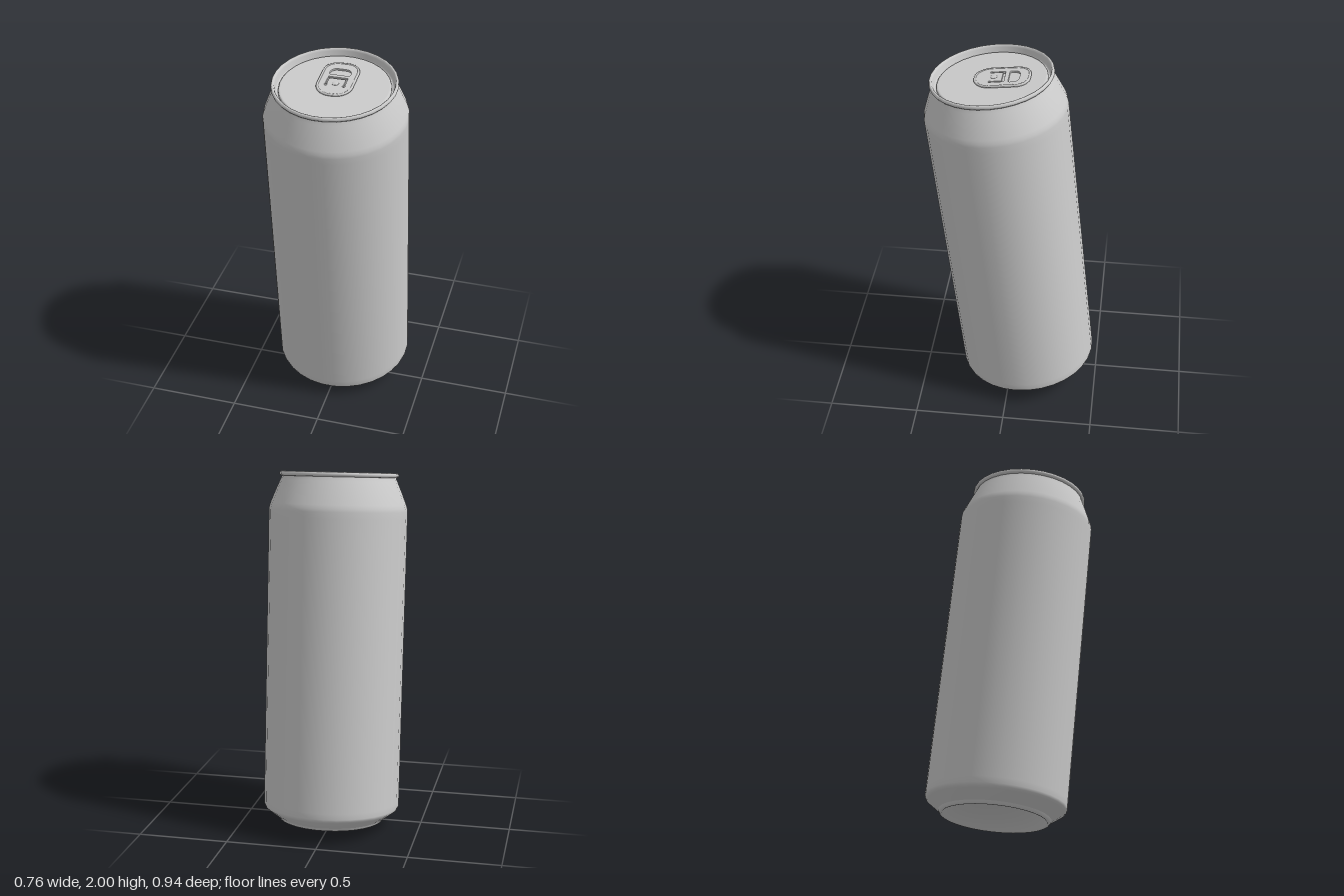
import * as THREE from 'three';

const SIDES = 32;
const LEAN = 0.111;

// Smooth surface of revolution from [radius, height] pairs
function turned(name, pairs, material) {
  const points = pairs.map(([r, h]) => new THREE.Vector2(r, h));
  const mesh = new THREE.Mesh(new THREE.LatheGeometry(points, SIDES, Math.PI / SIDES), material);
  mesh.name = name;
  return mesh;
}

// Rounded rectangle with separate lower and upper corner radii
function roundedRect(path, w, y0, y1, rLow, rHigh) {
  path.absarc(w - rLow, y0 + rLow, rLow, -Math.PI / 2, 0, false);
  path.absarc(w - rHigh, y1 - rHigh, rHigh, 0, Math.PI / 2, false);
  path.absarc(-w + rHigh, y1 - rHigh, rHigh, Math.PI / 2, Math.PI, false);
  path.absarc(-w + rLow, y0 + rLow, rLow, Math.PI, Math.PI * 1.5, false);
  path.closePath();
  return path;
}

// U-shaped slit with a round bulb at each end
function tongueSlit() {
  const p = new THREE.Path();
  p.moveTo(-0.054, 0.002);
  p.lineTo(-0.054, 0.07);
  p.lineTo(0.054, 0.07);
  p.lineTo(0.054, 0.002);
  p.absarc(0.048, -0.006, 0.01, Math.PI * 0.3, -Math.PI * 1.3, true);
  p.lineTo(0.042, 0.052);
  p.lineTo(-0.042, 0.052);
  p.lineTo(-0.042, 0.002);
  p.absarc(-0.048, -0.006, 0.01, Math.PI * 0.3, -Math.PI * 1.3, true);
  p.closePath();
  return p;
}

export function createModel() {
  const metal = new THREE.MeshStandardMaterial({ color: 0xcccccc, side: THREE.DoubleSide });
  const model = new THREE.Group();
  model.name = 'drinkCan';

  // Leaning can: everything below is built upright in this group
  const can = new THREE.Group();
  can.name = 'can';
  can.position.set(0, 0.033, -0.105);
  can.rotation.x = LEAN;
  model.add(can);

  // Concave underside and standing rim
  can.add(turned('baseDome', [
    [0, 0.11], [0.08, 0.104], [0.15, 0.086], [0.21, 0.058], [0.25, 0.03], [0.274, 0.008], [0.281, 0.001],
    [0.287, 0], [0.293, 0.003], [0.298, 0.011], [0.302, 0.018],
  ], metal));

  // Lower chamfer, straight wall and tapered neck
  can.add(turned('body', [
    [0.302, 0.018], [0.32, 0.031], [0.365, 0.064], [0.376, 0.074], [0.381, 0.088], [0.381, 0.12],
    [0.381, 1.7], [0.381, 1.735], [0.379, 1.752], [0.373, 1.772], [0.345, 1.842], [0.322, 1.895], [0.315, 1.91],
    [0.313, 1.918],
  ], metal));

  // Rolled rim, countersink groove and lid panel
  can.add(turned('rim', [
    [0.313, 1.918], [0.321, 1.919], [0.326, 1.925], [0.327, 1.932], [0.324, 1.94], [0.318, 1.943],
    [0.312, 1.94], [0.308, 1.93], [0.303, 1.905], [0.3, 1.899], [0.295, 1.897], [0.291, 1.9],
  ], metal));
  can.add(turned('lid', [[0.291, 1.9], [0.289, 1.909], [0.285, 1.912], [0.278, 1.912], [0, 1.912]], metal));

  // Pull tab with finger hole and cut tongue
  const tab = new THREE.Group();
  tab.name = 'pullTab';
  tab.position.set(0, 1.912, 0);
  can.add(tab);

  const outline = roundedRect(new THREE.Shape(), 0.092, -0.088, 0.197, 0.085, 0.07);
  const fingerHole = roundedRect(new THREE.Path(), 0.058, 0.087, 0.148, 0.012, 0.036);
  outline.holes.push(fingerHole, tongueSlit());
  const plateShape = new THREE.ExtrudeGeometry(outline, {
    depth: 0.006, bevelEnabled: true, bevelThickness: 0.003, bevelSize: 0.003, bevelSegments: 2, curveSegments: 8,
  });
  plateShape.rotateX(-Math.PI / 2);
  const plate = new THREE.Mesh(plateShape, metal);
  plate.name = 'tabPlate';
  plate.position.y = 0.003;
  tab.add(plate);

  // Curled edge round the tab
  const edgePoints = outline.getPoints(8).map((p) => new THREE.Vector3(p.x * 0.98, 0.008, -p.y));
  const edgeCurve = new THREE.CatmullRomCurve3(edgePoints.filter((p, i) => i === 0 ||
    p.distanceTo(edgePoints[i - 1]) > 0.001).slice(0, -1), true);
  const edge = new THREE.Mesh(new THREE.TubeGeometry(edgeCurve, 64, 0.007, 8, true), metal);
  edge.name = 'tabCurledEdge';
  tab.add(edge);

  // Rivet holding the tab
  const rivet = new THREE.Mesh(new THREE.SphereGeometry(0.018, 16, 6, 0, Math.PI * 2, 0, Math.PI / 2), metal);
  rivet.name = 'rivet';
  rivet.scale.y = 0.25;
  rivet.position.set(0, 0.012, -0.01);
  tab.add(rivet);

  return model;
}
